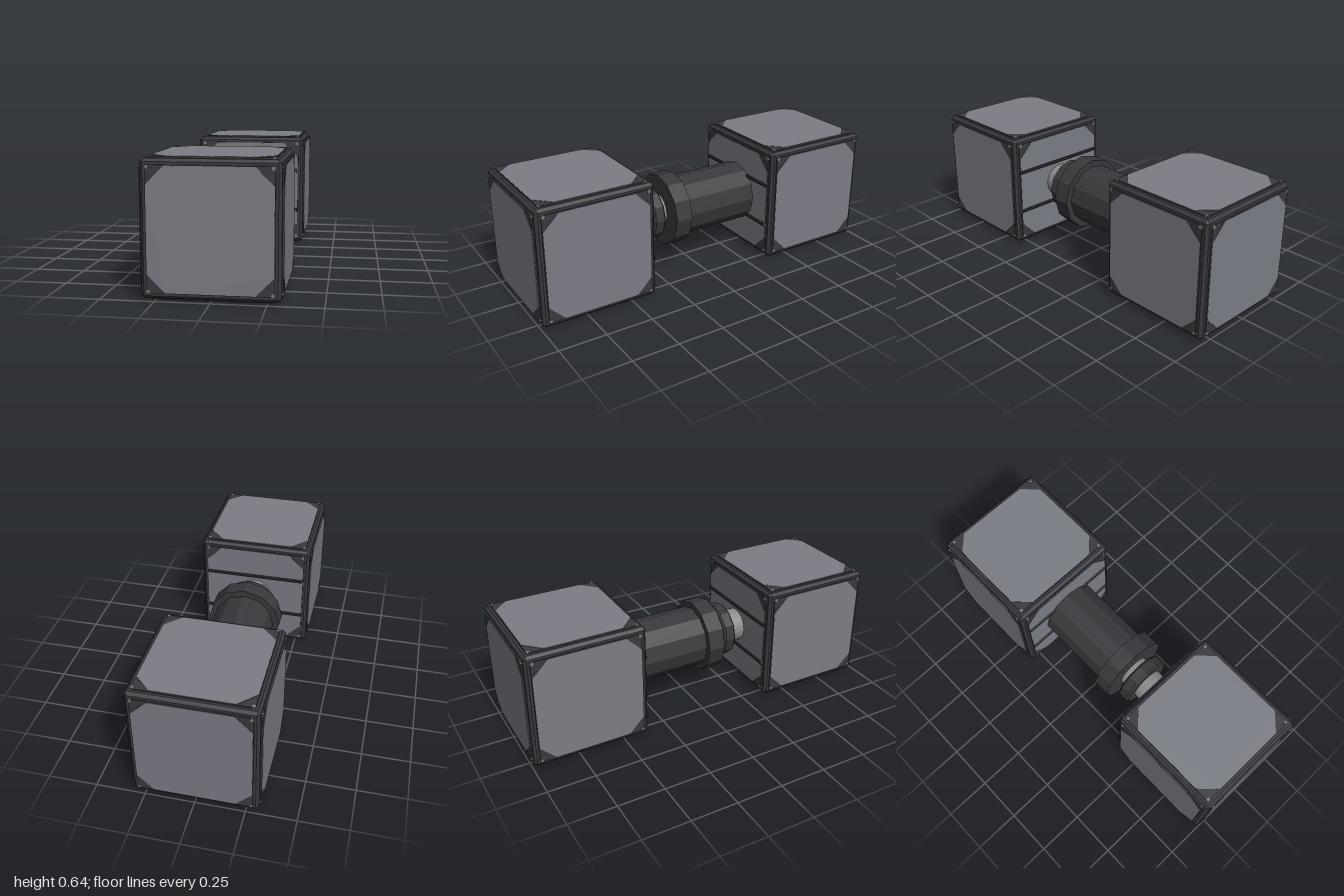
import * as THREE from 'three';
import { ConvexGeometry } from 'three/addons/geometries/ConvexGeometry.js';

const MID = 0.3215;      // centre height, also half the cube size
const BODY = 0.312;      // half size of the chamfered cube core
const PLATE = 0.285;     // half size of the face plates
const CUT = 0.083;       // corner cut of the octagonal panels

function material(name, color, flatShading = true) {
  const m = new THREE.MeshStandardMaterial({ color, flatShading });
  m.name = name;
  return m;
}

function add(parent, name, geometry, mat, x = 0, y = 0, z = 0) {
  const mesh = new THREE.Mesh(geometry, mat);
  mesh.name = name;
  mesh.position.set(x, y, z);
  parent.add(mesh);
  return mesh;
}

// Extruded flat plate from corner points
function plate(points, depth) {
  const shape = new THREE.Shape(points.map(([x, y]) => new THREE.Vector2(x, y)));
  return new THREE.ExtrudeGeometry(shape, { depth, bevelEnabled: false });
}

function octagon(half, cut, depth) {
  const c = half - cut;
  return plate([[half, -c], [half, c], [c, half], [-c, half],
    [-half, c], [-half, -c], [-c, -half], [c, -half]], depth);
}

// Box with all edges chamfered
function chamferedBox(h, bevel) {
  const pts = [], i = h - bevel;
  for (const x of [-1, 1]) for (const y of [-1, 1]) for (const z of [-1, 1]) {
    pts.push(new THREE.Vector3(x * h, y * i, z * i));
    pts.push(new THREE.Vector3(x * i, y * h, z * i));
    pts.push(new THREE.Vector3(x * i, y * i, z * h));
  }
  return new ConvexGeometry(pts);
}

// Solid of revolution along z from [radius, z] points
function turned(points, sides) {
  const g = new THREE.LatheGeometry(points.map(([r, z]) => new THREE.Vector2(r, z)), sides);
  return g.rotateX(Math.PI / 2);
}

export function createModel() {
  const frame = material('dark frame', 0x3a393f);
  const panelGrey = material('panel grey', 0x7b7d85);
  const pistonDark = material('piston dark', 0x39393d);
  const steel = material('rod steel', 0x8a8a8c, false);
  const boltGrey = material('bolt grey', 0x7c7d80);
  const barBlack = material('bar black', 0x2a2a2e);

  const core = chamferedBox(BODY, 0.014);
  const trim = octagon(PLATE, CUT, 0.0075);
  const panel = octagon(PLATE - 0.003, CUT - 0.001, 0.009);
  const gusset = plate([[PLATE, PLATE], [PLATE - CUT, PLATE], [PLATE, PLATE - CUT]], 0.007);
  const bolt = new THREE.CylinderGeometry(0.01, 0.01, 0.01, 6).rotateX(Math.PI / 2);
  const bar = new THREE.CylinderGeometry(0.01, 0.01, 0.56, 8).rotateZ(Math.PI / 2);

  // One cube face, built looking along +z
  function makeFace(name, withBars) {
    const face = new THREE.Group();
    face.name = name;
    add(face, 'panelTrim', trim, frame, 0, 0, BODY);
    add(face, 'panel', panel, panelGrey, 0, 0, BODY);
    for (let i = 0; i < 4; i++) {
      const corner = new THREE.Group();
      corner.name = 'corner';
      corner.rotation.z = i * Math.PI / 2;
      add(corner, 'gusset', gusset, frame, 0, 0, BODY);
      add(corner, 'bolt', bolt, boltGrey, 0.277, 0.277, 0.3165);
      face.add(corner);
    }
    if (withBars) {
      for (const s of [-1, 1]) add(face, 'guideBar', bar, barBlack, 0, s * 0.118, 0.321);
    }
    return face;
  }

  // Cube whose inner face (+z before turning) carries the guide bars
  function makeCube(name) {
    const cube = new THREE.Group();
    cube.name = name;
    add(cube, 'cubeCore', core, frame);
    ['innerFace', 'leftFace', 'outerFace', 'rightFace'].forEach((n, i) => {
      const face = makeFace(n, i === 0);
      face.rotation.y = i * Math.PI / 2;
      cube.add(face);
    });
    [['topFace', -1], ['bottomFace', 1]].forEach(([n, s]) => {
      const face = makeFace(n, false);
      face.rotation.x = s * Math.PI / 2;
      cube.add(face);
    });
    return cube;
  }

  const model = new THREE.Group();
  model.name = 'pistonBlocks';

  const backCube = makeCube('backCube');
  backCube.position.set(0, MID, -1 + MID);
  const frontCube = makeCube('frontCube');
  frontCube.position.set(0, MID, 1 - MID);
  frontCube.rotation.y = Math.PI;
  model.add(backCube, frontCube);

  // Piston joining the cubes
  const piston = new THREE.Group();
  piston.name = 'piston';
  piston.position.y = MID;
  add(piston, 'barrel', turned([[0, -0.37], [0.166, -0.37], [0.166, 0.1], [0, 0.1]], 12), pistonDark);
  add(piston, 'flange', turned([[0, 0.07], [0.2, 0.07], [0.2, 0.165], [0, 0.165]], 12), pistonDark);
  add(piston, 'collar', turned([[0, 0.2], [0.138, 0.2], [0.148, 0.21], [0.148, 0.26],
    [0.138, 0.27], [0, 0.27]], 12), pistonDark);
  add(piston, 'rod', new THREE.CylinderGeometry(0.092, 0.092, 0.24, 24).rotateX(Math.PI / 2),
    steel, 0, 0, 0.26);
  model.add(piston);

  return model;
}
